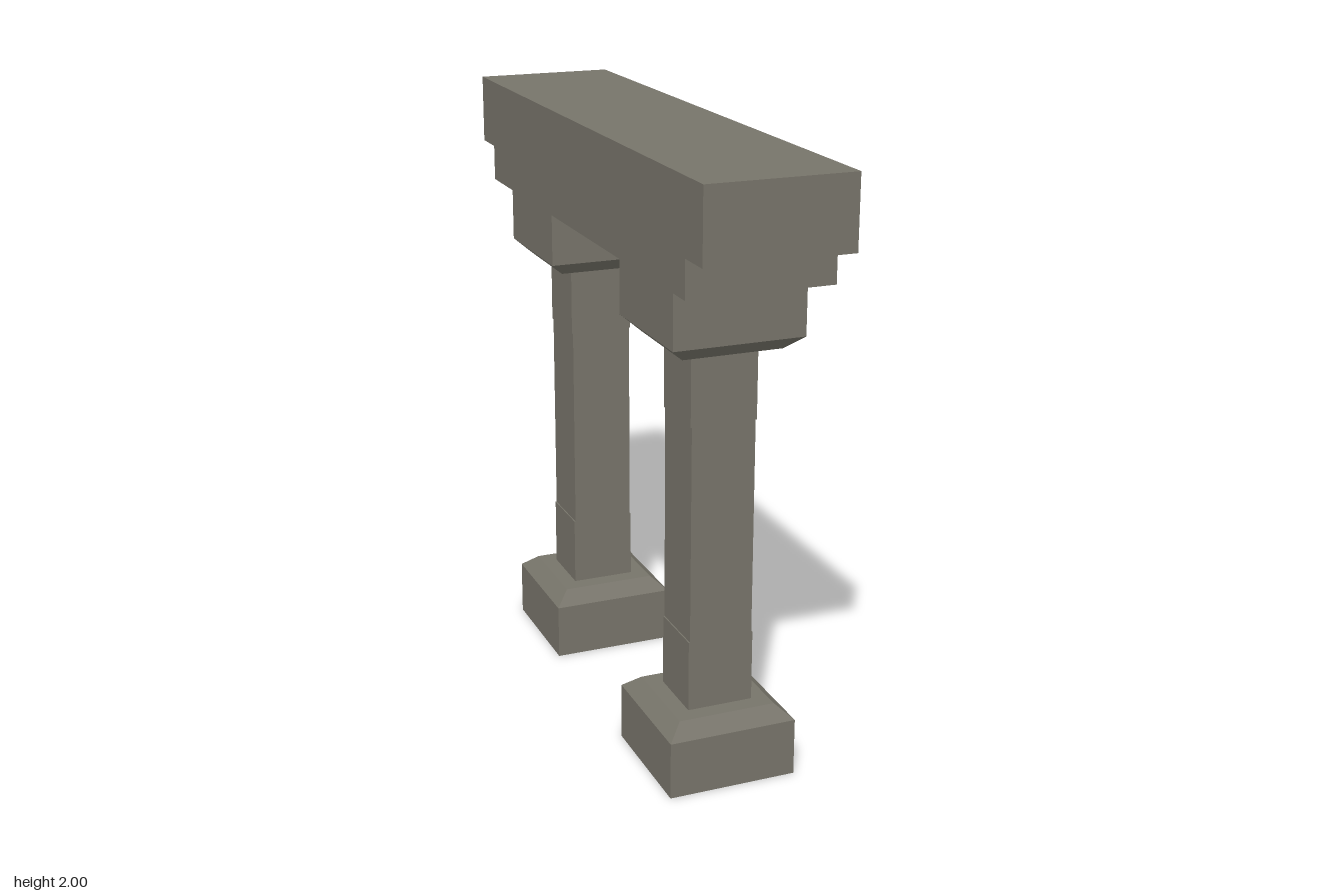
import * as THREE from 'three';

const stone = new THREE.MeshStandardMaterial({ color: 0x77746a, flatShading: true });
stone.name = 'weathered stone';

// Axis-aligned block spanning y0..y1
function block(name, width, depth, y0, y1) {
  const mesh = new THREE.Mesh(new THREE.BoxGeometry(width, y1 - y0, depth), stone);
  mesh.name = name;
  mesh.position.y = (y0 + y1) / 2;
  return mesh;
}

// Square block with a chamfered top edge, standing on y = 0
function chamferedBlock(name) {
  const profile = [[0, 0], [0.213, 0], [0.213, 0.19], [0.162, 0.235], [0, 0.235]]
    .map(([half, y]) => new THREE.Vector2(half * Math.SQRT2, y));
  const mesh = new THREE.Mesh(new THREE.LatheGeometry(profile, 4, Math.PI / 4), stone);
  mesh.name = name;
  return mesh;
}

// Pillar: base, three-part shaft with a slightly narrower middle, capital
function pillar(name) {
  const group = new THREE.Group();
  group.name = name;
  const capital = chamferedBlock('capital');
  capital.rotation.x = Math.PI;
  capital.position.y = 1.65;
  group.add(
    chamferedBlock('base'),
    block('shaftFoot', 0.218, 0.21, 0.235, 0.47),
    block('shaftMiddle', 0.21, 0.21, 0.47, 1.18),
    block('shaftHead', 0.218, 0.21, 1.18, 1.415),
    capital
  );
  return group;
}

export function createModel() {
  const model = new THREE.Group();
  model.name = 'stoneGateway';

  for (const [name, z] of [['frontPillar', 0.53], ['backPillar', -0.53]]) {
    const p = pillar(name);
    p.position.z = z;
    model.add(p);
  }

  // Stepped lintel: the lower course is shorter than the upper one
  model.add(
    block('lowerLintel', 0.47, 1.76, 1.65, 1.77),
    block('upperLintel', 0.47, 2, 1.77, 2)
  );
  return model;
}
